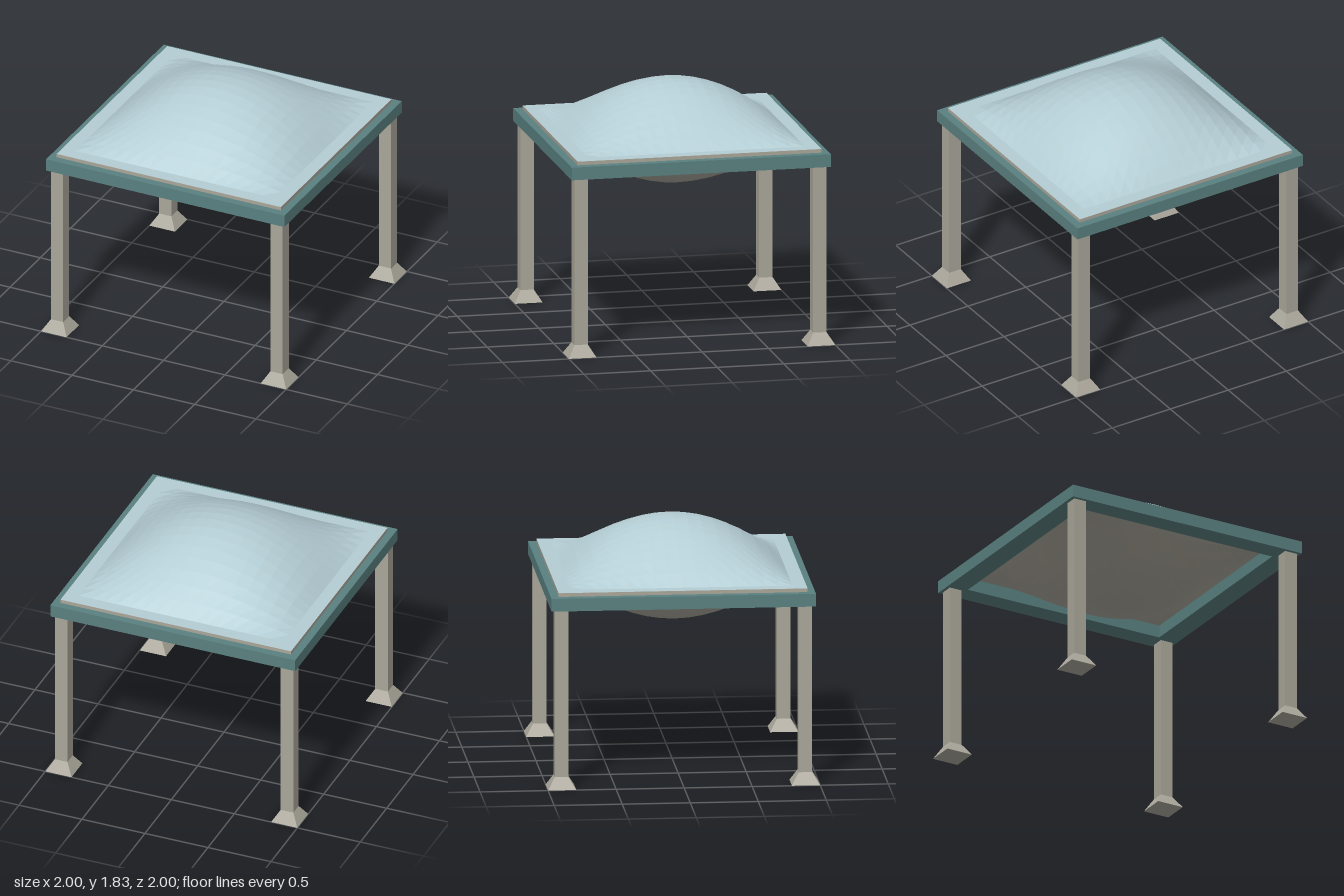
import * as THREE from 'three';

const HALF = 0.915;   // half width of the cushion sheets
const HOLE = 0.813;   // half width of the frame opening
const mat = (color) => new THREE.MeshStandardMaterial({ color, flatShading: true });

function add(parent, name, geometry, material, x = 0, y = 0, z = 0) {
  const mesh = new THREE.Mesh(geometry, material);
  mesh.name = name;
  mesh.position.set(x, y, z);
  parent.add(mesh);
  return mesh;
}

const square = (r, Type = THREE.Shape) => new Type([
  new THREE.Vector2(-r, -r), new THREE.Vector2(r, -r),
  new THREE.Vector2(r, r), new THREE.Vector2(-r, r),
]);

// Square ring lying flat, with its underside at y = 0
function ring(outer, inner, height) {
  const shape = square(outer);
  shape.holes.push(square(inner, THREE.Path));
  return new THREE.ExtrudeGeometry(shape, { depth: height, bevelEnabled: false }).rotateX(-Math.PI / 2);
}

// Sheet with a flat rim and a parabolic bulge over the opening
function bulgedSheet(rise) {
  const geo = new THREE.PlaneGeometry(HALF * 2, HALF * 2, 18, 18).rotateX(-Math.PI / 2);
  const p = geo.attributes.position;
  const bow = (t) => Math.max(0, 1 - (t / HOLE) ** 2);
  for (let i = 0; i < p.count; i++) p.setY(i, rise * bow(p.getX(i)) * bow(p.getZ(i)));
  return geo;
}

// Reverses the triangles so the sheet faces down
function flip(geo) {
  const idx = geo.index;
  for (let i = 0; i < idx.count; i += 3) {
    const a = idx.getX(i);
    idx.setX(i, idx.getX(i + 1));
    idx.setX(i + 1, a);
  }
  geo.computeVertexNormals();
  return geo;
}

export function createModel() {
  const model = new THREE.Group();
  model.name = 'canopy';
  const teal = mat(0x5a8080);
  const stone = mat(0xaaa69a);
  const skin = mat(0xb4cdd4);

  // Frame
  add(model, 'frame', ring(0.972, HOLE, 0.095), teal, 0, 1.335, 0);

  // Inflated cushion: upper skin, lower skin and clamped edge
  const cushion = new THREE.Group();
  cushion.name = 'cushion';
  model.add(cushion);
  add(cushion, 'upperSkin', bulgedSheet(0.368), skin, 0, 1.46, 0);
  add(cushion, 'lowerSkin', flip(bulgedSheet(-0.362)), stone, 0, 1.432, 0);
  add(cushion, 'clampedEdge', ring(HALF, HALF - 0.03, 0.027), stone, 0, 1.432, 0);

  // Legs with flared feet
  const post = new THREE.BoxGeometry(0.1, 1.25, 0.1);
  const foot = new THREE.CylinderGeometry(0.05 * Math.SQRT2, 0.104 * Math.SQRT2, 0.088, 4).rotateY(Math.PI / 4);
  for (const sx of [1, -1]) for (const sz of [1, -1]) {
    const leg = new THREE.Group();
    leg.name = (sz > 0 ? 'front' : 'back') + (sx > 0 ? 'Left' : 'Right') + 'Leg';
    leg.position.set(sx * 0.896, 0, sz * 0.896);
    add(leg, 'post', post, stone, 0, 0.711, 0);
    add(leg, 'foot', foot, stone, 0, 0.044, 0);
    model.add(leg);
  }
  return model;
}
